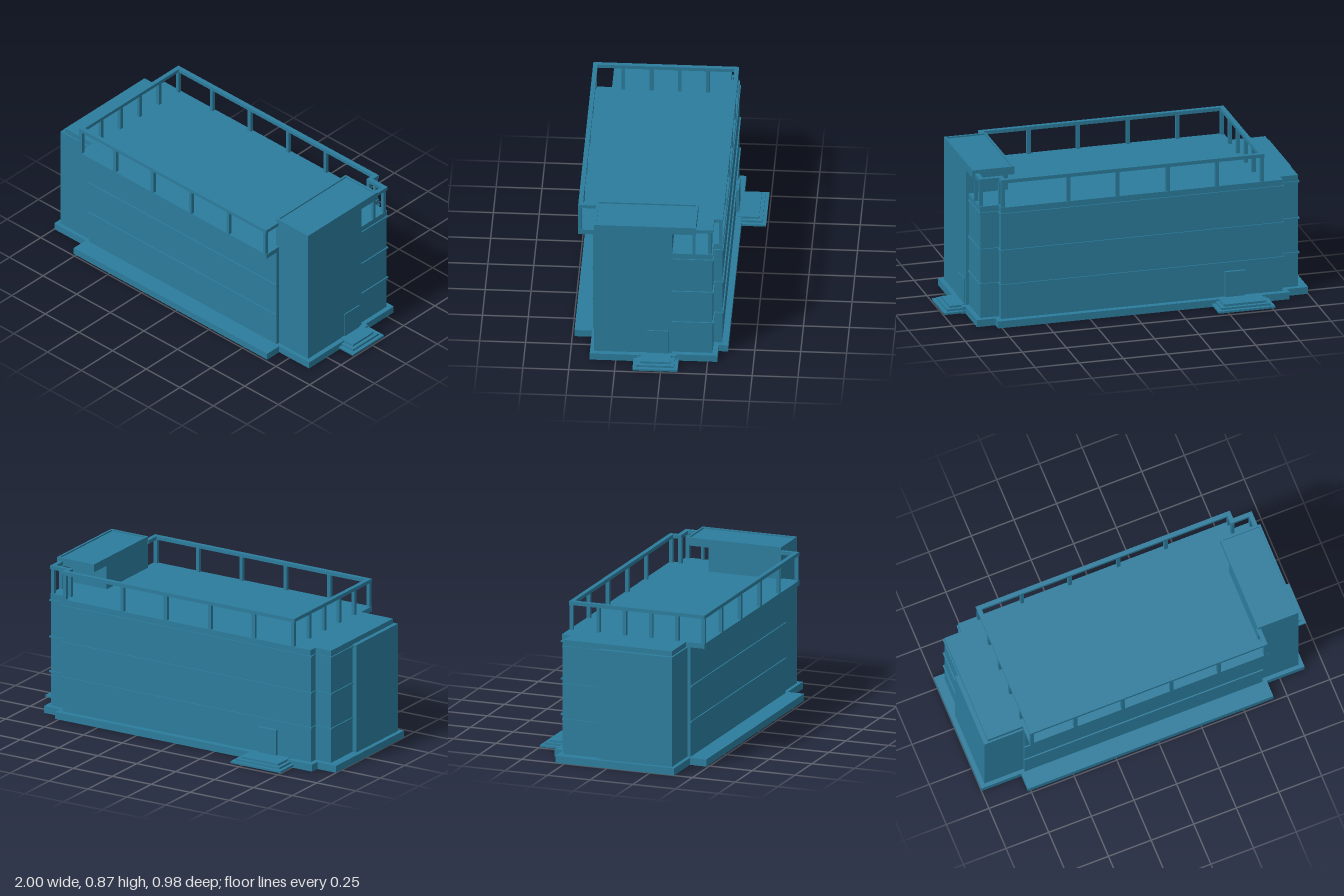
import * as THREE from 'three';

const material = new THREE.MeshStandardMaterial({ color: 0x2b7c9c, flatShading: true, side: THREE.DoubleSide });

// Plan outlines as [x, z]
const wallPlan = [
  [-0.95, -0.275], [-0.85, -0.275], [-0.85, -0.322], [0.745, -0.322], [0.745, -0.275], [0.85, -0.275],
  [0.85, -0.055], [0.867, -0.055], [0.867, 0.37], [0.65, 0.37], [0.65, 0.388], [-0.745, 0.388],
  [-0.745, 0.37], [-0.975, 0.37], [-0.975, -0.055], [-0.95, -0.055],
];
const basePlan = [
  [-1, -0.303], [-0.88, -0.303], [-0.88, -0.356], [0.772, -0.356], [0.772, -0.303], [0.877, -0.303],
  [0.877, -0.08], [0.895, -0.08], [0.895, 0.392], [0.673, 0.392], [0.673, 0.488], [-0.766, 0.488],
  [-0.766, 0.392], [-1, 0.392],
];
const roofPlan = [
  [-0.95, -0.275], [-0.85, -0.275], [-0.85, -0.325], [0.747, -0.325], [0.747, -0.277], [0.853, -0.277],
  [0.853, 0.36], [0.65, 0.36], [0.65, 0.47], [-0.745, 0.47], [-0.745, 0.36], [-0.95, 0.36],
];

export function createModel() {
  const model = new THREE.Group();

  const add = (name, geometry, parent = model) => {
    const mesh = new THREE.Mesh(geometry, material);
    mesh.name = name;
    parent.add(mesh);
    return mesh;
  };
  const group = (name) => {
    const g = new THREE.Group();
    g.name = name;
    model.add(g);
    return g;
  };
  // Box given by its limits on each axis
  const box = (name, x0, x1, y0, y1, z0, z1, parent) => {
    const g = new THREE.BoxGeometry(x1 - x0, y1 - y0, z1 - z0);
    g.translate((x0 + x1) / 2, (y0 + y1) / 2, (z0 + z1) / 2);
    return add(name, g, parent);
  };
  const toPoints = (plan) => plan.map(([x, z]) => new THREE.Vector2(x, -z));
  // Upright sides along a closed outline, without caps
  const sides = (name, plan, y0, y1) => {
    const p = [];
    plan.forEach(([ax, az], i) => {
      const [bx, bz] = plan[(i + 1) % plan.length];
      p.push(ax, y0, az, bx, y1, bz, bx, y0, bz, ax, y0, az, ax, y1, az, bx, y1, bz);
    });
    const g = new THREE.BufferGeometry();
    g.setAttribute('position', new THREE.Float32BufferAttribute(p, 3));
    g.computeVertexNormals();
    return add(name, g);
  };
  // Solid slab, optionally with a hole
  const slab = (name, plan, y0, y1, hole) => {
    const shape = new THREE.Shape(toPoints(plan));
    if (hole) shape.holes.push(new THREE.Path(toPoints(hole)));
    const g = new THREE.ExtrudeGeometry(shape, { depth: y1 - y0, bevelEnabled: false });
    g.rotateX(-Math.PI / 2);
    g.translate(0, y0, 0);
    return add(name, g);
  };
  // Row of bars along an axis-aligned path
  const bars = (name, path, y0, y1, width, parent) => {
    const h = width / 2;
    for (let i = 0; i + 1 < path.length; i++) {
      const [ax, az] = path[i], [bx, bz] = path[i + 1];
      box(name, Math.min(ax, bx) - h, Math.max(ax, bx) + h, y0, y1,
        Math.min(az, bz) - h, Math.max(az, bz) + h, parent);
    }
  };

  // Plinth: hollow below, with a ledge around the walls
  sides('plinthSides', basePlan, 0, 0.04);
  const ledge = new THREE.Shape(toPoints(basePlan));
  ledge.holes.push(new THREE.Path(toPoints(wallPlan)));
  const ledgeGeometry = new THREE.ShapeGeometry(ledge);
  ledgeGeometry.rotateX(-Math.PI / 2);
  ledgeGeometry.translate(0, 0.04, 0);
  add('plinthLedge', ledgeGeometry);

  // Walls and roof
  sides('walls', wallPlan, 0.04, 0.657);
  slab('wallTop', wallPlan, 0.65, 0.657);
  slab('roof', roofPlan, 0.657, 0.685);

  // Floor bands on the front and around the back
  const bands = group('floorBands');
  const backPath = [[-0.95, -0.06], [-0.95, -0.275], [-0.85, -0.275], [-0.85, -0.322],
    [0.745, -0.322], [0.745, -0.275], [0.85, -0.275], [0.85, -0.06]];
  for (const y of [0.236, 0.436, 0.647]) bars('backBand', backPath, y - 0.004, y + 0.004, 0.014, bands);
  for (const y of [0.236, 0.436]) bars('frontBand', [[-0.74, 0.388], [0.644, 0.388]], y - 0.004, y + 0.004, 0.014, bands);

  // Stair tower above the roof, with its overhanging top
  box('towerUpper', 0.63, 0.867, 0.657, 0.82, -0.055, 0.37);
  box('towerRoof', 0.63, 0.867, 0.82, 0.857, -0.185, 0.37);
  const rect = (x0, x1, z0, z1) => [[x0, z0], [x1, z0], [x1, z1], [x0, z1]];
  slab('towerRim', rect(0.63, 0.867, -0.185, 0.37), 0.857, 0.865, rect(0.642, 0.855, -0.173, 0.358));
  box('canopyPost', 0.835, 0.855, 0.685, 0.82, -0.182, -0.165);

  // Roof railing
  const railing = group('railing');
  const railPath = [[0.635, 0.375], [0.635, 0.457], [-0.733, 0.457], [-0.733, -0.313],
    [0.733, -0.313], [0.733, -0.266], [0.842, -0.266], [0.842, -0.18]];
  bars('rail', railPath, 0.825, 0.845, 0.025, railing);
  const posts = [[0.733, -0.313], [0.733, -0.26], [0.842, -0.26], [0.635, 0.46]];
  for (const x of [-0.733, -0.48, -0.2, 0.085, 0.363]) posts.push([x, 0.46], [x, -0.313]);
  for (let i = 1; i <= 4; i++) posts.push([-0.733, 0.46 - i * 0.154]);
  for (const [x, z] of posts) box('railPost', x - 0.01, x + 0.01, 0.685, 0.826, z - 0.01, z + 0.01, railing);

  // Doors with three steps each
  box('sideDoor', 0.86, 0.873, 0.04, 0.187, -0.035, 0.085);
  box('backDoor', -0.635, -0.52, 0.04, 0.187, -0.338, -0.32);
  const steps = group('steps');
  for (let i = 0; i < 3; i++) {
    const y = 0.008 + i * 0.0115, d = i * 0.02;
    box('sideStep', 0.865, 1 - d, y, y + 0.0115, -0.093 + d, 0.153 - d, steps);
    box('backStep', -0.76 + d, -0.44 - d, y, y + 0.0115, -0.49 + d, -0.325, steps);
  }

  return model;
}
